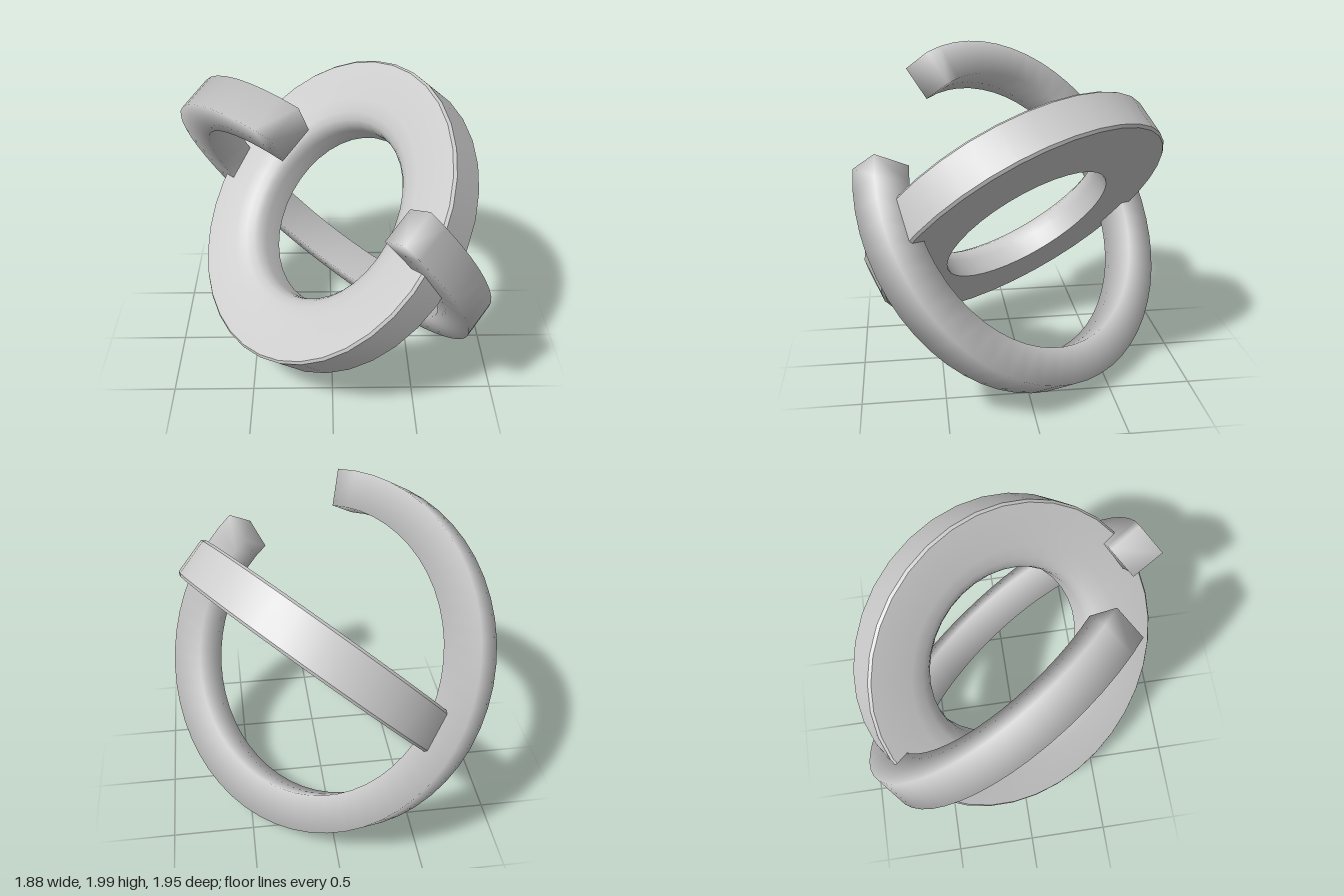
import * as THREE from 'three';
import { toCreasedNormals } from 'three/addons/utils/BufferGeometryUtils.js';

const V = (x, y, z) => new THREE.Vector3(x, y, z);

// Square bar bent around the y axis, with shared corners so it shades softly
function openRingGeometry(radius, half, arc, segments) {
  const corners = [[half, -half], [half, half], [-half, half], [-half, -half]];
  const positions = [], index = [];
  for (let i = 0; i <= segments; i++) {
    const a = (i / segments) * arc;
    for (const [r, y] of corners) {
      positions.push((radius + r) * Math.cos(a), y, -(radius + r) * Math.sin(a));
    }
  }
  for (let i = 0; i < segments; i++) {
    for (let j = 0; j < 4; j++) {
      const a = i * 4 + j, d = i * 4 + ((j + 1) % 4);
      index.push(a, a + 4, d + 4, a, d + 4, d);
    }
  }
  // End caps
  const e = segments * 4;
  index.push(0, 1, 2, 0, 2, 3, e, e + 2, e + 1, e, e + 3, e + 2);
  const geometry = new THREE.BufferGeometry();
  geometry.setAttribute('position', new THREE.Float32BufferAttribute(positions, 3));
  geometry.setIndex(index);
  geometry.computeVertexNormals();
  return geometry;
}

export function createModel() {
  const group = new THREE.Group();
  const material = new THREE.MeshStandardMaterial({ color: 0xcccccc });

  // Flat ring: straight wall and back, front easing into the bore
  const h = 0.13;
  const profile = [
    [0.56, -h], [0.97, -h], [0.985, -h + 0.015], [0.985, h - 0.015], [0.97, h],
    [0.72, h - 0.01], [0.64, h - 0.03], [0.595, h - 0.055], [0.57, h - 0.09],
    [0.56, h - 0.14], [0.56, -h],
  ].map(([r, y]) => new THREE.Vector2(r, y));
  const flatRing = new THREE.Mesh(
    toCreasedNormals(new THREE.LatheGeometry(profile, 36), 0.5), material);
  flatRing.name = 'flatRing';
  flatRing.quaternion.setFromUnitVectors(V(0, 1, 0), V(-0.635, 0.655, 0.4).normalize());
  flatRing.position.y = 1.01;
  group.add(flatRing);

  // Open ring: runs the long way round between its two ends
  const start = V(0.38, 0.425, 0.81).normalize();
  const end = V(-0.2175, 0.81, 0.525).normalize();
  const axis = end.clone().cross(start).normalize();
  const arc = 2 * Math.PI - start.angleTo(end);
  const openRing = new THREE.Mesh(openRingGeometry(1, 0.112, arc, 48), material);
  openRing.name = 'openRing';
  openRing.quaternion.setFromRotationMatrix(
    new THREE.Matrix4().makeBasis(start, axis, start.clone().cross(axis)));
  openRing.position.y = 1;
  group.add(openRing);

  return group;
}
